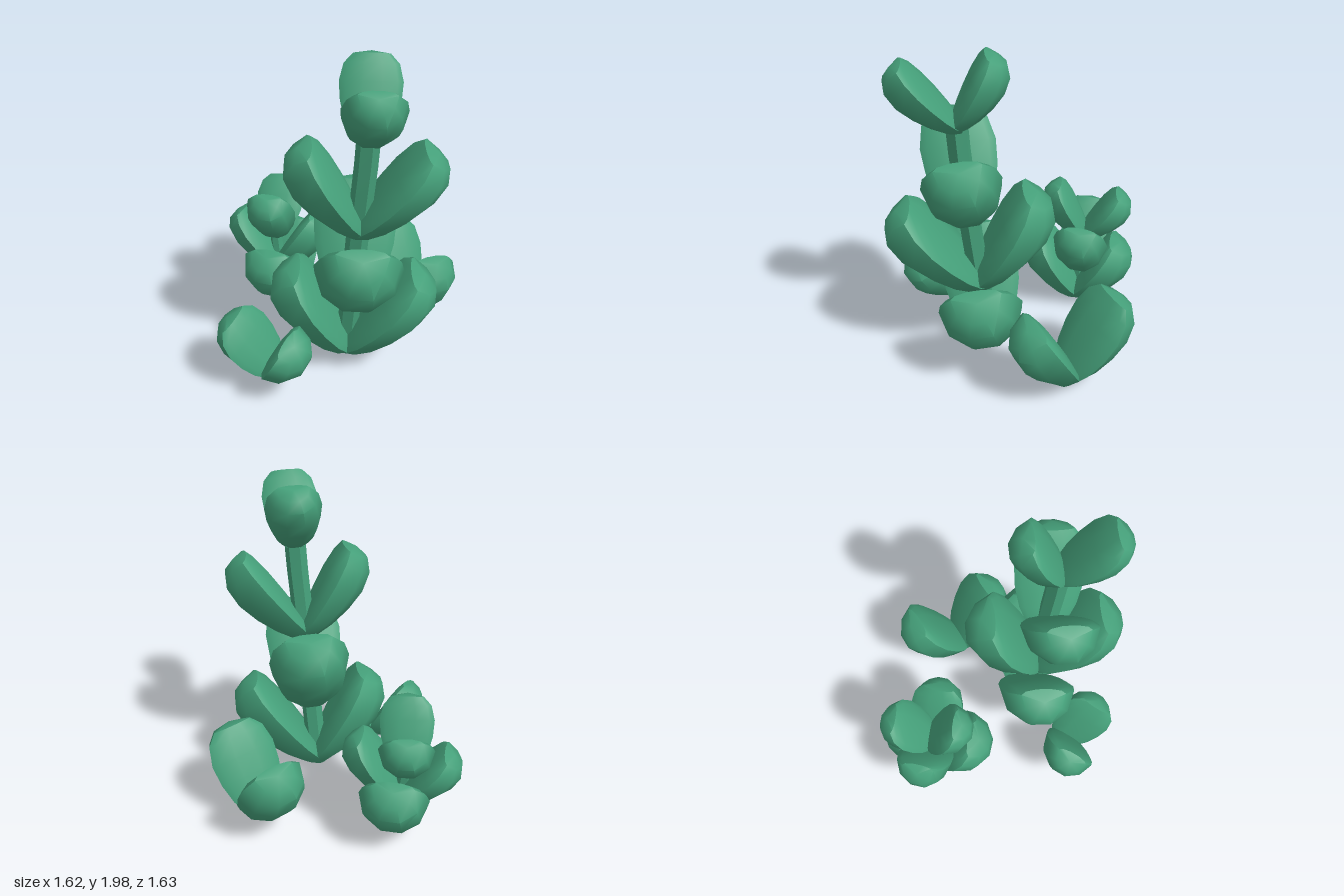
import * as THREE from 'three';
import { toCreasedNormals } from 'three/addons/utils/BufferGeometryUtils.js';

const material = new THREE.MeshStandardMaterial({ color: 0x45a07a });
const V = (p) => new THREE.Vector3(...p);

// Leaf stations: [position along the leaf, half width, thickness], all relative
const STATIONS = [
  [0, 0.32, 0.3], [0.1, 0.58, 0.5], [0.25, 0.8, 0.71], [0.45, 0.95, 0.9],
  [0.66, 1, 1], [0.85, 0.87, 0.92], [0.96, 0.58, 0.66],
];
const SIDES = 10;

// Plump spoon-shaped leaf: grows along +y, rounded back towards +z, flatter face towards -z
function leafGeometry(length, width) {
  const half = width / 2, thick = width * 0.5;
  const pos = [], index = [];
  for (const [t, w, d] of STATIONS) {
    for (let i = 0; i < SIDES; i++) {
      const a = (i / SIDES) * Math.PI * 2, s = Math.sin(a);
      pos.push(half * w * Math.cos(a), t * length, thick * d * s * (s > 0 ? 1 : 0.22));
    }
  }
  const n = STATIONS.length;
  pos.push(0, 0, 0, 0, length, thick * 0.2);
  const bottom = n * SIDES, top = bottom + 1;
  for (let i = 0; i < SIDES; i++) {
    const j = (i + 1) % SIDES;
    for (let k = 0; k < n - 1; k++) {
      const a = k * SIDES + i, b = k * SIDES + j;
      index.push(a, a + SIDES, b, b, a + SIDES, b + SIDES);
    }
    index.push(bottom, i, j);
    index.push(top, (n - 1) * SIDES + j, (n - 1) * SIDES + i);
  }
  const g = new THREE.BufferGeometry();
  g.setAttribute('position', new THREE.Float32BufferAttribute(pos, 3));
  g.setIndex(index);
  return toCreasedNormals(g, 0.8);
}

// Two opposite leaves that face each other, their bases overlapping a little
function leafPair(base, tipA, tipB, width) {
  const pair = new THREE.Group();
  pair.name = 'leafPair';
  for (const [tip, other] of [[tipA, tipB], [tipB, tipA]]) {
    const out = V(tip).sub(V(other)).setY(0).normalize();
    const root = V(base).addScaledVector(out, -0.1 * width);
    const dir = V(tip).sub(root);
    const y = dir.clone().normalize();
    const z = out.addScaledVector(y, -out.dot(y)).normalize();
    const x = y.clone().cross(z);
    const leaf = new THREE.Mesh(leafGeometry(dir.length(), width), material);
    leaf.name = 'leaf';
    leaf.quaternion.setFromRotationMatrix(new THREE.Matrix4().makeBasis(x, y, z));
    leaf.position.copy(root);
    pair.add(leaf);
  }
  return pair;
}

// Stem threaded through the bases of the leaf pairs
function stem(points, radius) {
  const curve = new THREE.CatmullRomCurve3(points.map(V));
  const geo = toCreasedNormals(new THREE.TubeGeometry(curve, 8, radius, 6), 0.6);
  const mesh = new THREE.Mesh(geo, material);
  mesh.name = 'stem';
  return mesh;
}

// Each tier: base, two leaf tips, leaf width
const PLANTS = {
  tallPlant: {
    stemRadius: 0.064,
    tiers: [
      [[-0.08, 0.1, 0.29], [0.12, 0.72, 0.66], [-0.34, 0.74, 0.09], 0.49],
      [[-0.1, 0.52, 0.34], [-0.4, 1.1, 0.64], [0.15, 1.17, 0.17], 0.49],
      [[-0.12, 1.0, 0.39], [0.08, 1.54, 0.71], [-0.36, 1.57, 0.21], 0.43],
      [[-0.13, 1.58, 0.45], [-0.34, 1.96, 0.65], [0.02, 2.0, 0.34], 0.33],
    ],
  },
  backPlant: {
    stemRadius: 0.04,
    tiers: [
      [[0.13, 0.045, -0.43], [0.35, 0.51, -0.53], [-0.1, 0.51, -0.34], 0.42],
      [[0.13, 0.25, -0.46], [0.25, 0.7, -0.23], [0.05, 0.64, -0.73], 0.35],
      [[0.13, 0.48, -0.49], [-0.03, 0.88, -0.4], [0.33, 0.83, -0.59], 0.32],
    ],
  },
  rightSprout: {
    tiers: [[[-0.53, 0.1, 0.1], [-0.69, 0.49, -0.08], [-0.63, 0.48, 0.32], 0.35]],
  },
  leftSprout: {
    tiers: [[[0.5, 0.055, 0.3], [0.67, 0.59, 0.06], [0.44, 0.59, 0.57], 0.42]],
  },
};

export function createModel() {
  const model = new THREE.Group();
  model.name = 'succulentCluster';
  for (const [name, { tiers, stemRadius }] of Object.entries(PLANTS)) {
    const plant = new THREE.Group();
    plant.name = name;
    for (const tier of tiers) plant.add(leafPair(...tier));
    if (stemRadius) {
      const path = tiers.map((t) => t[0]);
      const [x, y, z] = path[path.length - 1];
      plant.add(stem([...path, [x, y + 0.04, z]], stemRadius));
    }
    model.add(plant);
  }
  return model;
}
